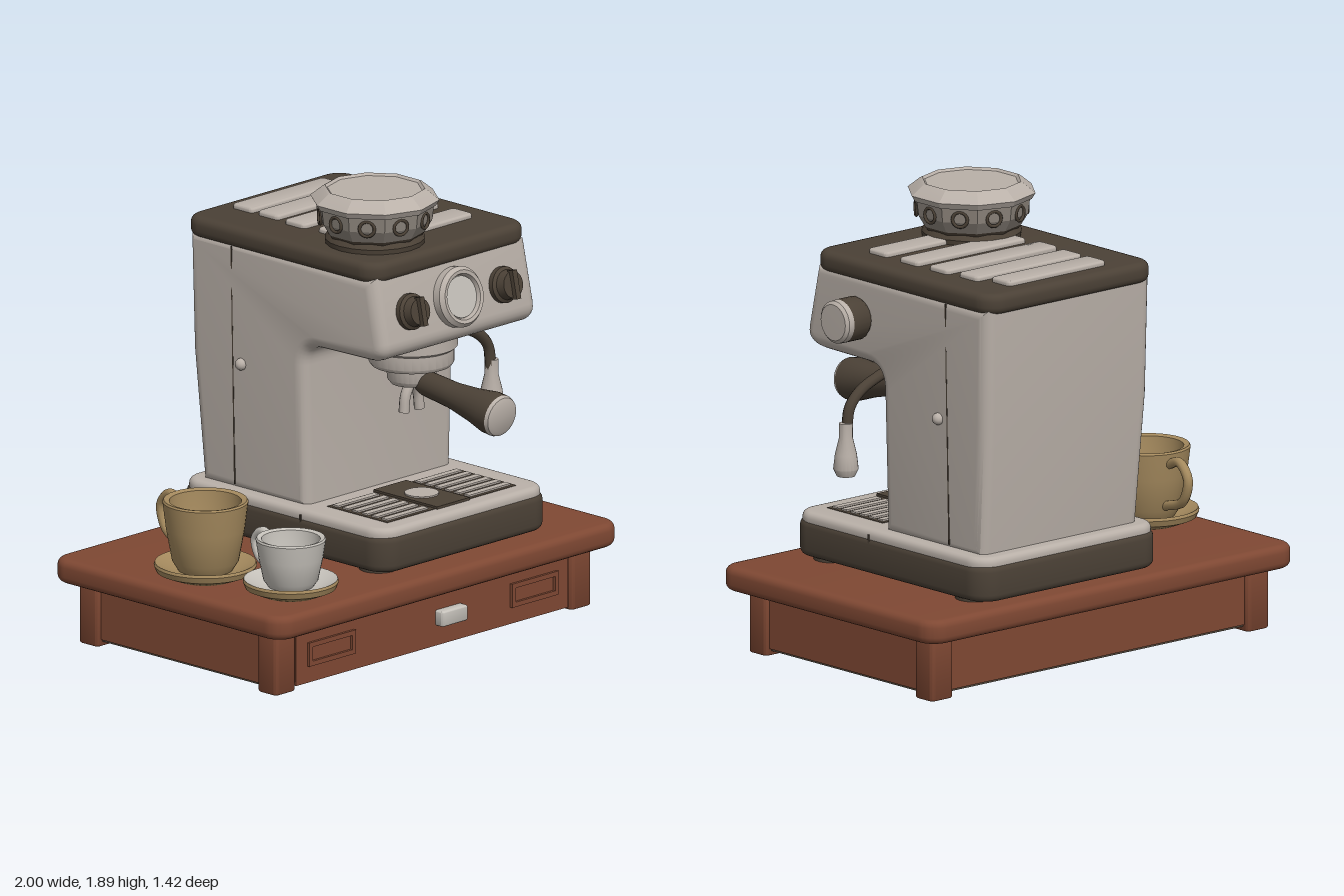
import * as THREE from 'three';
import { toCreasedNormals } from 'three/addons/utils/BufferGeometryUtils.js';

const paint = (name, color) => {
  const m = new THREE.MeshStandardMaterial({ color });
  m.name = name;
  return m;
};

export function createModel() {
  const root = new THREE.Group();
  root.name = 'espressoStation';
  const wood = paint('redWood', 0x7f4833);
  const steel = paint('warmSteel', 0xb9b0a8);
  const dark = paint('darkBrown', 0x4b4136);
  const tan = paint('tanCeramic', 0xa58a5e);
  const white = paint('whiteCeramic', 0xc6c2bb);
  const grey = paint('hopperGrey', 0x8d857c);
  const V = (x, y, z) => new THREE.Vector3(x, y, z);

  const add = (name, geo, mat, pos = [0, 0, 0], parent = root) => {
    const mesh = new THREE.Mesh(geo, mat);
    mesh.name = name;
    mesh.position.set(...pos);
    parent.add(mesh);
    return mesh;
  };
  const group = (name, pos) => {
    const g = new THREE.Group();
    g.name = name;
    g.position.set(...pos);
    root.add(g);
    return g;
  };

  // Rounded rectangle in plan, extruded upwards with soft edges
  const slab = (name, mat, x0, x1, z0, z1, y0, y1, r, b) => {
    const w = (x1 - x0) / 2, d = (z1 - z0) / 2, s = new THREE.Shape();
    s.absarc(w - r, d - r, r, 0, Math.PI / 2);
    s.absarc(r - w, d - r, r, Math.PI / 2, Math.PI);
    s.absarc(r - w, r - d, r, Math.PI, Math.PI * 1.5);
    s.absarc(w - r, r - d, r, Math.PI * 1.5, Math.PI * 2);
    s.closePath();
    const g = new THREE.ExtrudeGeometry(s, {
      depth: y1 - y0 - 2 * b, bevelEnabled: b > 0, bevelSize: b, bevelThickness: b,
      bevelOffset: -b, bevelSegments: 4, curveSegments: 8,
    });
    g.translate(0, 0, b).rotateX(-Math.PI / 2);
    return add(name, toCreasedNormals(g, 0.6), mat, [(x0 + x1) / 2, y0, (z0 + z1) / 2]);
  };
  const box = (name, mat, x0, x1, y0, y1, z0, z1) =>
    add(name, new THREE.BoxGeometry(x1 - x0, y1 - y0, z1 - z0), mat,
      [(x0 + x1) / 2, (y0 + y1) / 2, (z0 + z1) / 2]);
  const lathe = (pts, seg = 32, crease = 0.6) => toCreasedNormals(
    new THREE.LatheGeometry(pts.map(p => new THREE.Vector2(...p)), seg), crease);
  const tube = (pts, r) => new THREE.TubeGeometry(new THREE.CatmullRomCurve3(pts), 24, r, 10);

  // Table: top, panels, legs, drawer details
  slab('tableTop', wood, -1, 1, -0.71, 0.6, 0.26, 0.36, 0.09, 0.03);
  box('tablePanels', wood, -0.9, 0.9, 0.03, 0.27, -0.6, 0.48);
  box('tableUnderside', dark, -0.89, 0.89, 0.02, 0.03, -0.59, 0.47);
  box('drawerFront', wood, -0.79, 0.79, 0.015, 0.25, 0.47, 0.488);
  for (const x of [-0.92, 0.8]) for (const z of [-0.62, 0.39])
    slab('tableLeg', wood, x, x + 0.12, z, z + 0.11, 0, 0.27, 0.02, 0.01);
  slab('drawerPull', white, 0.02, 0.17, 0.47, 0.53, 0.1, 0.165, 0.012, 0.008);
  for (const x of [-0.59, 0.59]) {
    for (const y of [0.095, 0.175]) box('drawerMoulding', wood, x - 0.125, x + 0.125, y - 0.01, y + 0.01, 0.48, 0.5);
    for (const s of [-1, 1]) box('drawerMoulding', wood, x + s * 0.125 - 0.01, x + s * 0.125 + 0.01, 0.085, 0.185, 0.48, 0.5);
  }

  // Machine base and feet
  for (const x of [-0.18, 0.58]) for (const z of [-0.5, 0.36])
    add('foot', new THREE.CylinderGeometry(0.08, 0.08, 0.04, 20), dark, [x, 0.375, z]);
  slab('machineBase', dark, -0.295, 0.69, -0.67, 0.5, 0.375, 0.53, 0.1, 0.03);
  slab('baseRim', steel, -0.288, 0.683, -0.66, 0.49, 0.495, 0.56, 0.095, 0.025);
  for (const x of [-0.294, 0.684]) box('baseSeam', dark, x, x + 0.005, 0.5, 0.54, 0.022, 0.03);

  // Drip tray grille
  box('trayGrille', dark, -0.18, 0.57, 0.555, 0.562, 0.07, 0.41);
  for (const x of [-0.165, 0.315]) for (let i = 0; i < 6; i++)
    box('grilleBar', steel, x, x + 0.24, 0.56, 0.569, 0.087 + i * 0.055, 0.118 + i * 0.055);
  box('trayCentre', dark, 0.1, 0.29, 0.56, 0.571, 0.06, 0.42);
  add('trayDisc', new THREE.CylinderGeometry(0.07, 0.07, 0.01, 24), steel, [0.195, 0.572, 0.24]);

  // Column and overhanging head from one side profile, tapering downwards
  const side = new THREE.Shape();
  side.moveTo(-0.595, 0.54);
  side.lineTo(0, 0.54);
  side.lineTo(0, 1.15);
  side.quadraticCurveTo(0, 1.235, 0.08, 1.24);
  side.lineTo(0.36, 1.245);
  side.quadraticCurveTo(0.465, 1.25, 0.455, 1.33);
  side.lineTo(0.395, 1.6);
  side.lineTo(-0.65, 1.6);
  side.lineTo(-0.64, 1.1);
  side.closePath();
  const bodyGeo = new THREE.ExtrudeGeometry(side, {
    depth: 0.8, bevelSize: 0.05, bevelThickness: 0.05, bevelOffset: -0.05, bevelSegments: 5, curveSegments: 8,
  });
  bodyGeo.translate(0, 0, -0.4).rotateY(-Math.PI / 2);
  const p = bodyGeo.attributes.position;
  for (let i = 0; i < p.count; i++) {
    const y = p.getY(i);
    p.setX(i, p.getX(i) * (0.955 + 0.05 * Math.min(1, Math.max(0, (y - 0.55) / 0.75))));
  }
  add('machineBody', toCreasedNormals(bodyGeo, 0.6), steel, [0.198, 0, 0]);
  for (const s of [-1, 1]) {
    add('sideStud', new THREE.SphereGeometry(0.025, 14, 10), steel, [0.198 + s * 0.448, 1.09, -0.35]);
    const seam = box('sideSeam', dark, -0.002, 0.002, 0.57, 1.58, -0.403, -0.397);
    seam.position.x = 0.198 + s * 0.442;
    seam.rotation.z = -s * 0.02;
  }

  // Lid with warming slats
  slab('lid', dark, -0.26, 0.655, -0.675, 0.41, 1.575, 1.66, 0.09, 0.03);
  const slats = [[-0.535, -0.055, 0.475], [-0.39, -0.055, 0.52], [-0.225, -0.07, 0.535],
    [-0.045, -0.06, 0.535], [0.15, -0.05, 0.53]];
  for (const [z, x0, x1] of slats) slab('lidSlat', steel, x0, x1, z - 0.058, z + 0.058, 1.64, 1.68, 0.02, 0.01);

  // Faceted bean hopper
  const hopper = group('hopper', [0.01, 0, 0.155]);
  add('hopperCollar', lathe([[0, 1.64], [0.2, 1.64], [0.205, 1.68], [0.19, 1.7], [0, 1.7]], 20), dark, [0, 0, 0], hopper);
  add('hopperBeans', lathe([[0.18, 1.675], [0.208, 1.715]], 10, 0.3), dark, [0, 0, 0], hopper);
  add('hopperBowl', lathe([[0.205, 1.71], [0.235, 1.76], [0.243, 1.825]], 10, 0.3), grey, [0, 0, 0], hopper);
  add('hopperLid', lathe([[0, 1.82], [0.25, 1.82], [0.265, 1.845], [0.215, 1.885], [0.205, 1.89], [0.195, 1.88], [0, 1.88]], 10, 0.3),
    steel, [0, 0, 0], hopper);
  for (let i = 0; i < 10; i++) {
    const a = (i + 0.5) * Math.PI / 5;
    const ring = add('hopperPort', new THREE.TorusGeometry(0.031, 0.007, 6, 16), dark,
      [Math.sin(a) * 0.227, 1.775, Math.cos(a) * 0.227], hopper);
    ring.rotation.y = a;
  }

  // Gauge and dials on the sloping front
  const tilt = Math.PI / 2 - 0.21;
  const gauge = group('gauge', [0.195, 1.44, 0.425]);
  gauge.rotation.x = tilt;
  add('gaugeBezel', lathe([[0.125, -0.02], [0.125, 0.04], [0.11, 0.058], [0.095, 0.055], [0.088, 0.035], [0, 0.035]], 36),
    steel, [0, 0, 0], gauge);
  add('gaugeFace', new THREE.CylinderGeometry(0.086, 0.086, 0.008, 32), white, [0, 0.037, 0], gauge);
  for (const x of [-0.075, 0.465]) {
    const dial = group('dial', [x, 1.435, 0.428]);
    dial.rotation.x = tilt;
    add('dialSkirt', lathe([[0.075, -0.02], [0.075, 0.025], [0.062, 0.035], [0.055, 0.07], [0, 0.072]], 24), dark, [0, 0, 0], dial);
    add('dialGrip', new THREE.BoxGeometry(0.026, 0.03, 0.12), dark, [0, 0.075, 0], dial);
  }

  // Side steam knob
  const knob = group('steamKnob', [0.62, 1.425, 0.13]);
  knob.rotation.z = -Math.PI / 2;
  add('knobStem', new THREE.CylinderGeometry(0.06, 0.06, 0.06, 20), steel, [0, 0.02, 0], knob);
  add('knobGrip', lathe([[0, 0.03], [0.08, 0.03], [0.09, 0.045], [0.09, 0.13], [0.085, 0.14]], 24), dark, [0, 0, 0], knob);
  add('knobCap', lathe([[0.09, 0.13], [0.088, 0.155], [0.075, 0.167], [0, 0.168]], 24), steel, [0, 0, 0], knob);

  // Brewing head
  add('brewHead', lathe([[0, 1.11], [0.165, 1.11], [0.175, 1.125], [0.175, 1.18], [0.188, 1.19], [0.188, 1.26]], 32), steel, [0.198, 0, 0.18]);
  add('filterBasket', lathe([[0, 1.03], [0.085, 1.03], [0.1, 1.05], [0.105, 1.12]], 28), steel, [0.198, 0, 0.18]);
  for (const s of [-1, 1])
    add('spout', tube([V(0.198, 1.04, 0.18), V(0.198 + s * 0.035, 0.98, 0.18), V(0.198 + s * 0.045, 0.91, 0.18)], 0.022), steel);

  // Filter handle
  const handle = group('filterHandle', [0.198, 1.045, 0.24]);
  handle.rotation.x = Math.PI / 2 + 0.13;
  add('handleNeck', new THREE.CylinderGeometry(0.035, 0.035, 0.12, 16), steel, [0, -0.02, 0], handle);
  add('handleGrip', lathe([[0, 0], [0.045, 0], [0.052, 0.03], [0.055, 0.18], [0.07, 0.3], [0.088, 0.39], [0.088, 0.44]], 24),
    dark, [0, 0, 0], handle);
  add('handleCap', lathe([[0.088, 0.44], [0.082, 0.455], [0.065, 0.463], [0, 0.464]], 24), steel, [0, 0, 0], handle);

  // Steam wand
  add('wandJoint', new THREE.CylinderGeometry(0.07, 0.06, 0.1, 20), dark, [0.45, 1.2, 0.11]);
  add('wandPipe', tube([V(0.47, 1.19, 0.11), V(0.56, 1.165, 0.11), V(0.66, 1.12, 0.11), V(0.715, 1.06, 0.11), V(0.73, 0.96, 0.11)], 0.023), dark);
  add('wandTip', lathe([[0, 0.775], [0.038, 0.78], [0.052, 0.81], [0.045, 0.87], [0.028, 0.94], [0.028, 1], [0, 1.005]], 20),
    steel, [0.735, 0, 0.11]);

  // Cups on saucers
  const cup = (name, x, z, r, y0, y1, saucerR, mat, turn) => {
    const g = group(name, [x, 0, z]), h = y1 - y0;
    g.rotation.y = turn;
    add('saucerFoot', lathe([[0, 0.36], [saucerR * 0.6, 0.36], [saucerR * 0.95, 0.39], [saucerR, 0.415], [saucerR * 0.98, 0.427]], 36),
      tan, [0, 0, 0], g);
    add('saucerTop', lathe([[saucerR * 0.98, 0.427], [saucerR * 0.9, 0.42], [saucerR * 0.6, 0.395], [0, 0.395]], 36),
      mat, [0, 0, 0], g);
    add('cupBowl', lathe([[0, y0], [r * 0.62, y0], [r * 0.78, y0 + h * 0.15], [r * 0.92, y0 + h * 0.6], [r, y1 - 0.008],
      [r * 0.97, y1], [r * 0.84, y1 - 0.006], [r * 0.78, y0 + h * 0.5], [r * 0.6, y0 + h * 0.2], [0, y0 + h * 0.18]], 36),
    mat, [0, 0, 0], g);
    add('cupHandle', tube([V(0, y1 - h * 0.18, -r * 0.9), V(0, y1 - h * 0.1, -r * 1.35), V(0, y1 - h * 0.3, -r * 1.7),
      V(0, y1 - h * 0.62, -r * 1.5), V(0, y0 + h * 0.22, -r * 0.75)], 0.02), mat, [0, 0, 0], g);
    return g;
  };
  cup('largeCup', -0.765, -0.05, 0.175, 0.39, 0.69, 0.21, tan, -0.15);
  const small = cup('smallCup', -0.695, 0.365, 0.143, 0.39, 0.6, 0.195, white, -0.17);
  add('coffeeDrop', new THREE.CylinderGeometry(0.035, 0.035, 0.006, 16), dark, [0, 0.432, -0.03], small);

  return root;
}
